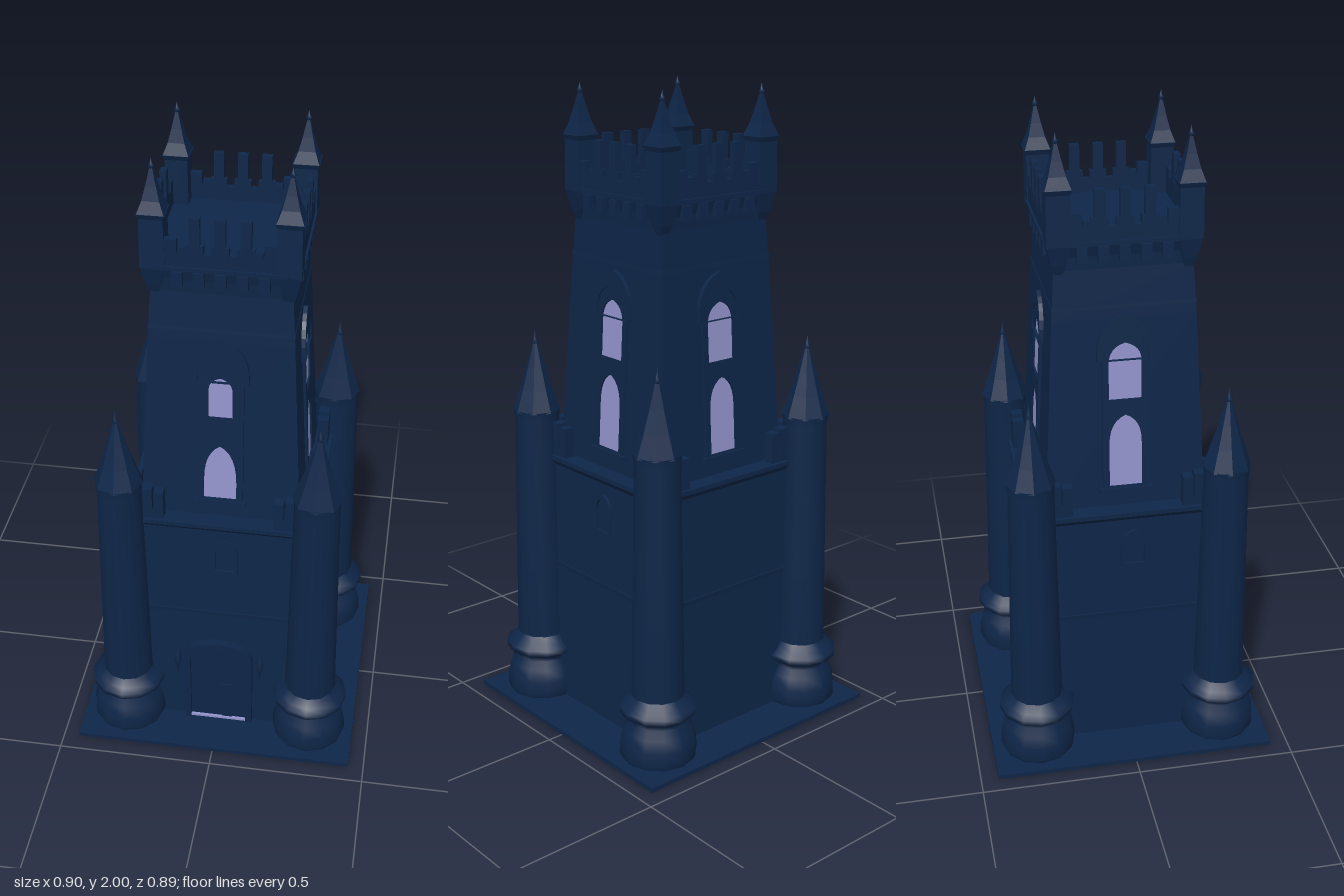
import * as THREE from 'three';

const stone = new THREE.MeshStandardMaterial({ color: 0x0e2648 });
stone.name = 'navy stone';
const glass = new THREE.MeshStandardMaterial({ color: 0x9494cc });
glass.name = 'lilac glass';

function add(parent, name, geo, x = 0, y = 0, z = 0, mat = stone) {
  const m = new THREE.Mesh(geo, mat);
  m.name = name;
  m.position.set(x, y, z);
  parent.add(m);
  return m;
}

const box = (parent, name, w, h, d, x, y, z, mat) =>
  add(parent, name, new THREE.BoxGeometry(w, h, d), x, y, z, mat);

function flat(geo) {
  const g = geo.toNonIndexed();
  g.computeVertexNormals();
  return g;
}

// Square block through [y, half width] rings
function squareStack(parent, name, rings, x = 0, z = 0) {
  for (let i = 0; i < rings.length - 1; i++) {
    const [y0, a] = rings[i], [y1, b] = rings[i + 1];
    const g = new THREE.CylinderGeometry(b * Math.SQRT2, a * Math.SQRT2, y1 - y0, 4);
    g.rotateY(Math.PI / 4);
    add(parent, name, flat(g), x, (y0 + y1) / 2, z);
  }
}

const lathe = (pts, n) => new THREE.LatheGeometry(pts.map(([r, y]) => new THREE.Vector2(r, y)), n);

// Pointed arch outline: half width w, sill y0, spring ys, apex y1
function arch(w, y0, ys, y1, Type = THREE.Shape) {
  const s = new Type();
  s.moveTo(-w, y0);
  s.lineTo(w, y0);
  s.lineTo(w, ys);
  s.quadraticCurveTo(w, y1 - (y1 - ys) * 0.2, 0, y1);
  s.quadraticCurveTo(-w, y1 - (y1 - ys) * 0.2, -w, ys);
  return s;
}

const extrude = (shape, depth) =>
  new THREE.ExtrudeGeometry(shape, { depth, bevelEnabled: false, curveSegments: 6 });

// Round corner tower with bulbous foot and spire
function cornerTower(parent, x, z) {
  const g = new THREE.Group();
  g.name = 'cornerTower';
  g.position.set(x, 0, z);
  parent.add(g);
  add(g, 'towerFoot', lathe([[0.112, 0.01], [0.12, 0.03], [0.118, 0.07], [0.108, 0.11], [0.09, 0.135],
    [0.092, 0.15], [0.118, 0.165], [0.12, 0.185], [0.1, 0.195], [0.082, 0.22]], 12));
  add(g, 'towerShaft', lathe([[0.082, 0.2], [0.078, 0.45], [0.07, 0.95], [0.074, 0.985]], 12));
  add(g, 'towerSpire', flat(lathe([[0.076, 0.98], [0.052, 1.05], [0.03, 1.12], [0.008, 1.195]], 8)));
  add(g, 'towerFinial', lathe([[0.005, 1.19], [0.012, 1.2], [0.005, 1.212], [0, 1.24]], 6));
}

// Square roof turret with concave spire and hanging corbel
function roofTurret(parent, x, z) {
  squareStack(parent, 'turretCorbel', [[1.57, 0.006], [1.62, 0.022], [1.68, 0.034]], x, z);
  squareStack(parent, 'turretBody', [[1.68, 0.036], [1.83, 0.034], [1.845, 0.04]], x, z);
  squareStack(parent, 'turretSpire', [[1.845, 0.038], [1.88, 0.025], [1.92, 0.015], [1.97, 0.004]], x, z);
  add(parent, 'turretFinial', lathe([[0.003, 1.965], [0.01, 1.975], [0.004, 1.985], [0, 2]], 6), x, 0, z);
}

// Tall two-light window lying on the sloping wall; the front one is narrower
function tallWindow(side, isFront) {
  const g = new THREE.Group();
  g.name = 'tallWindow';
  g.position.set(0, 0.84, 0.245);
  g.rotation.x = -0.053;
  side.add(g);
  const w = 0.05, wu = isFront ? 0.036 : 0.05;
  const low = isFront ? [w, 0.07, 0.13, 0.26] : [w, 0.07, 0.21, 0.305];
  const up = isFront ? [wu, 0.36, 0.45, 0.495] : [wu, 0.355, 0.47, 0.535];
  const frame = arch(0.07, 0.05, 0.5, 0.585);
  frame.holes.push(arch(...low, THREE.Path), arch(...up, THREE.Path));
  add(g, 'windowFrame', extrude(frame, 0.014), 0, 0, -0.004);
  add(g, 'lowerGlass', extrude(arch(...low), 0.004), 0, 0, 0, glass);
  add(g, 'upperGlass', extrude(arch(...up), 0.004), 0, 0, 0, glass);
  box(g, 'windowSill', 0.16, 0.016, 0.022, 0, 0.057, 0.006);
  // Hood moulding over the arch
  const hood = arch(0.085, 0.48, 0.5, 0.625);
  hood.holes.push(arch(0.068, 0.482, 0.5, 0.58, THREE.Path));
  add(g, 'windowHood', extrude(hood, 0.018), 0, 0, -0.004);
}

function smallWindow(side) {
  const frame = arch(0.04, 0.645, 0.72, 0.775);
  frame.holes.push(arch(0.03, 0.655, 0.72, 0.762, THREE.Path));
  add(side, 'smallWindowFrame', extrude(frame, 0.012), 0.02, 0, 0.282);
}

// Battlements along one side of the roof
function battlements(side) {
  box(side, 'parapet', 0.32, 0.055, 0.02, 0, 1.705, 0.212);
  box(side, 'parapetMoulding', 0.38, 0.012, 0.03, 0, 1.685, 0.214);
  for (const s of [-1, 1]) {
    box(side, 'parapetStep', 0.035, 0.045, 0.02, s * 0.14, 1.75, 0.212);
    box(side, 'parapetStep', 0.03, 0.025, 0.02, s * 0.105, 1.738, 0.212);
  }
  for (const x of [-0.072, 0, 0.072]) {
    box(side, 'merlon', 0.03, 0.11, 0.02, x, 1.785, 0.212);
    box(side, 'merlonFoot', 0.05, 0.03, 0.02, x, 1.742, 0.212);
  }
  for (let i = -2; i <= 2; i++) {
    box(side, 'corbel', 0.032, 0.045, 0.024, i * 0.062, 1.65, 0.212);
  }
}

function doorway(side) {
  const frame = arch(0.112, 0.012, 0.29, 0.36);
  frame.holes.push(arch(0.092, 0.014, 0.27, 0.335, THREE.Path));
  add(side, 'doorFrame', extrude(frame, 0.03), 0, 0, 0.285);
  add(side, 'doorLeaf', extrude(arch(0.093, 0.014, 0.27, 0.336), 0.008), 0, 0, 0.292);
  box(side, 'wicketDoor', 0.035, 0.15, 0.006, 0.028, 0.095, 0.302);
  box(side, 'doorSill', 0.185, 0.008, 0.008, 0, 0.019, 0.306, glass);
  // Wall lanterns
  for (const s of [-1, 1]) {
    add(side, 'lantern', lathe([[0, 0.2], [0.006, 0.24], [0.013, 0.255], [0.01, 0.285], [0, 0.32]], 6), s * 0.136, 0, 0.3);
    box(side, 'lanternArm', 0.008, 0.008, 0.02, s * 0.136, 0.255, 0.293);
  }
}

export function createModel() {
  const model = new THREE.Group();
  model.name = 'castleTower';
  box(model, 'groundSlab', 0.9, 0.014, 0.89, 0, 0.007, 0);

  // Main body and upper tower
  squareStack(model, 'lowerBody', [[0.01, 0.296], [0.47, 0.289], [0.83, 0.283]]);
  squareStack(model, 'stringCourse', [[0.465, 0.291], [0.48, 0.293]]);
  squareStack(model, 'lowerCornice', [[0.81, 0.286], [0.828, 0.302], [0.842, 0.302]]);
  squareStack(model, 'upperTower', [[0.84, 0.246], [1.45, 0.214], [1.6, 0.204], [1.64, 0.206], [1.68, 0.217]]);
  squareStack(model, 'upperBand', [[1.48, 0.214], [1.49, 0.213]]);
  squareStack(model, 'roofDeck', [[1.675, 0.222], [1.69, 0.222]]);

  for (let k = 0; k < 4; k++) {
    const side = new THREE.Group();
    side.name = ['frontSide', 'leftSide', 'backSide', 'rightSide'][k];
    side.rotation.y = k * Math.PI / 2;
    model.add(side);
    tallWindow(side, k === 0);
    battlements(side);
    if (k !== 2) smallWindow(side);
    if (k === 0) doorway(side);
    // Stepped walls joining the ledge to the corner towers
    for (const s of [-1, 1]) {
      box(side, 'ledgeWall', 0.035, 0.11, 0.035, s * 0.222, 0.893, 0.272);
      box(side, 'ledgeWallStep', 0.03, 0.1, 0.035, s * 0.185, 0.888, 0.272);
      box(side, 'ledgeWallLow', 0.03, 0.03, 0.035, s * 0.205, 0.855, 0.272);
    }
  }

  for (const sx of [-1, 1]) {
    for (const sz of [-1, 1]) {
      cornerTower(model, sx * 0.303, sz * 0.298);
      roofTurret(model, sx * 0.192, sz * 0.19);
    }
  }
  return model;
}
